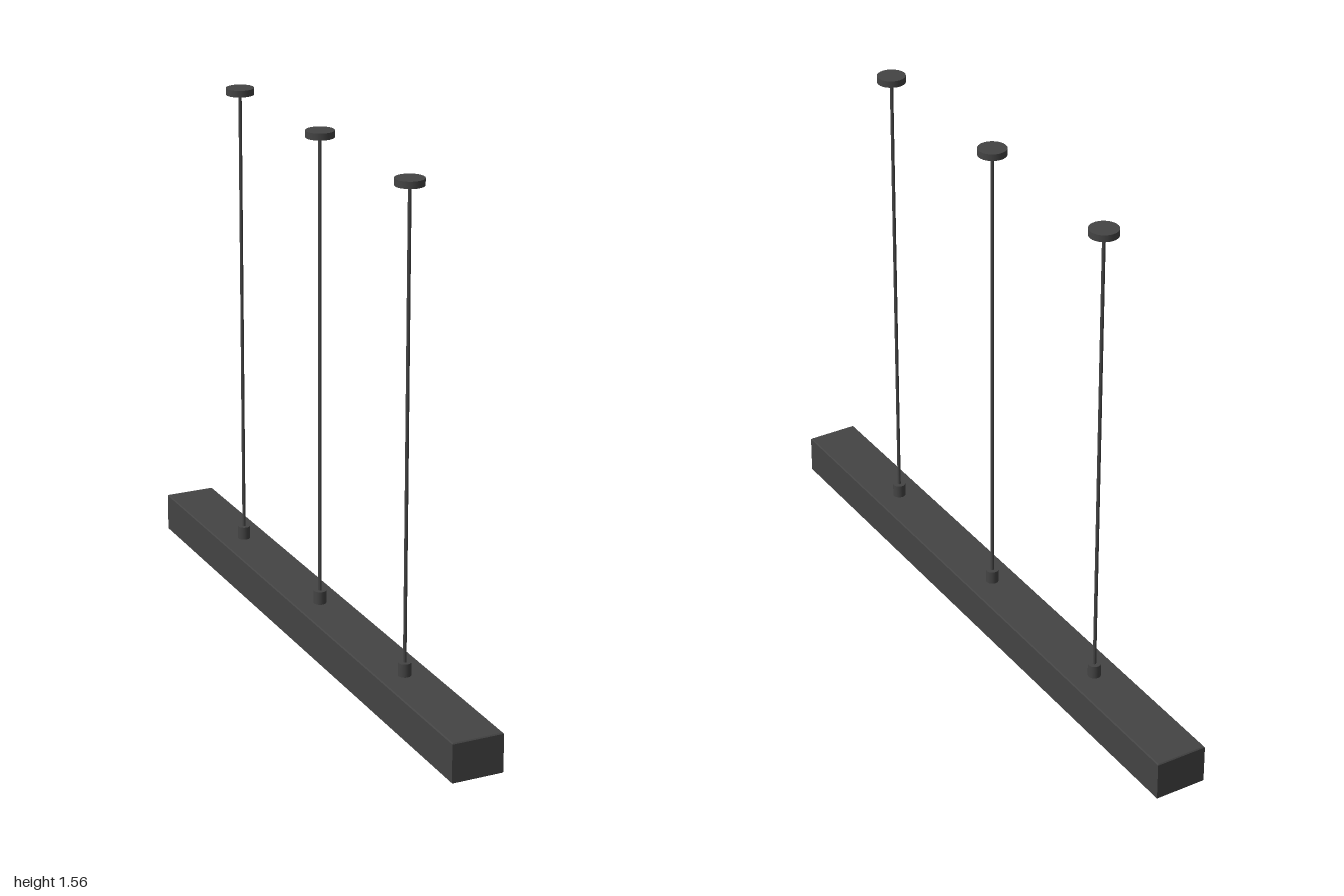
import * as THREE from 'three';

const dark = new THREE.MeshStandardMaterial({ color: 0x444444 });
const darkFlat = new THREE.MeshStandardMaterial({ color: 0x444444, flatShading: true });

function add(parent, name, geometry, material, y = 0) {
  const mesh = new THREE.Mesh(geometry, material);
  mesh.name = name;
  mesh.position.y = y;
  parent.add(mesh);
  return mesh;
}

// Joins rectangular rings [halfWidth, halfLength, y], listed from the inside of the recess outwards and up
function rectangleLoft(rings) {
  const corner = ([w, l, y], i) => [[w, y, l], [w, y, -l], [-w, y, -l], [-w, y, l]][i % 4];
  const points = [];
  for (let r = 0; r < rings.length - 1; r++) {
    for (let i = 0; i < 4; i++) {
      const a = corner(rings[r], i), b = corner(rings[r], i + 1);
      const c = corner(rings[r + 1], i + 1), d = corner(rings[r + 1], i);
      points.push(...a, ...b, ...c, ...a, ...c, ...d);
    }
  }
  const geometry = new THREE.BufferGeometry();
  geometry.setAttribute('position', new THREE.Float32BufferAttribute(points, 3));
  geometry.computeVertexNormals();
  return geometry;
}

export function createModel() {
  const group = new THREE.Group();
  group.name = 'linearPendantLight';

  // Long housing with slightly bevelled edges and an open recess underneath
  add(group, 'housing', rectangleLoft([
    [0.065, 0.987, 0.02],
    [0.065, 0.987, 0],
    [0.075, 0.997, 0],
    [0.078, 1, 0.003],
    [0.078, 1, 0.117],
    [0.075, 0.997, 0.12],
    [0, 0, 0.12],
  ]), darkFlat);

  // Light panel set into the recess
  add(group, 'diffuser', new THREE.BoxGeometry(0.13, 0.01, 1.974), dark, 0.017);

  // Three suspensions: cable grip, cable and ceiling canopy
  for (const z of [-0.56, 0, 0.56]) {
    const suspension = new THREE.Group();
    suspension.name = 'suspension';
    suspension.position.z = z;
    add(suspension, 'cableGrip', new THREE.CylinderGeometry(0.019, 0.019, 0.042, 24), dark, 0.139);
    add(suspension, 'cable', new THREE.CylinderGeometry(0.005, 0.005, 1.4, 12), dark, 0.858);
    add(suspension, 'canopy', new THREE.CylinderGeometry(0.042, 0.042, 0.02, 32), dark, 1.548);
    group.add(suspension);
  }
  return group;
}
